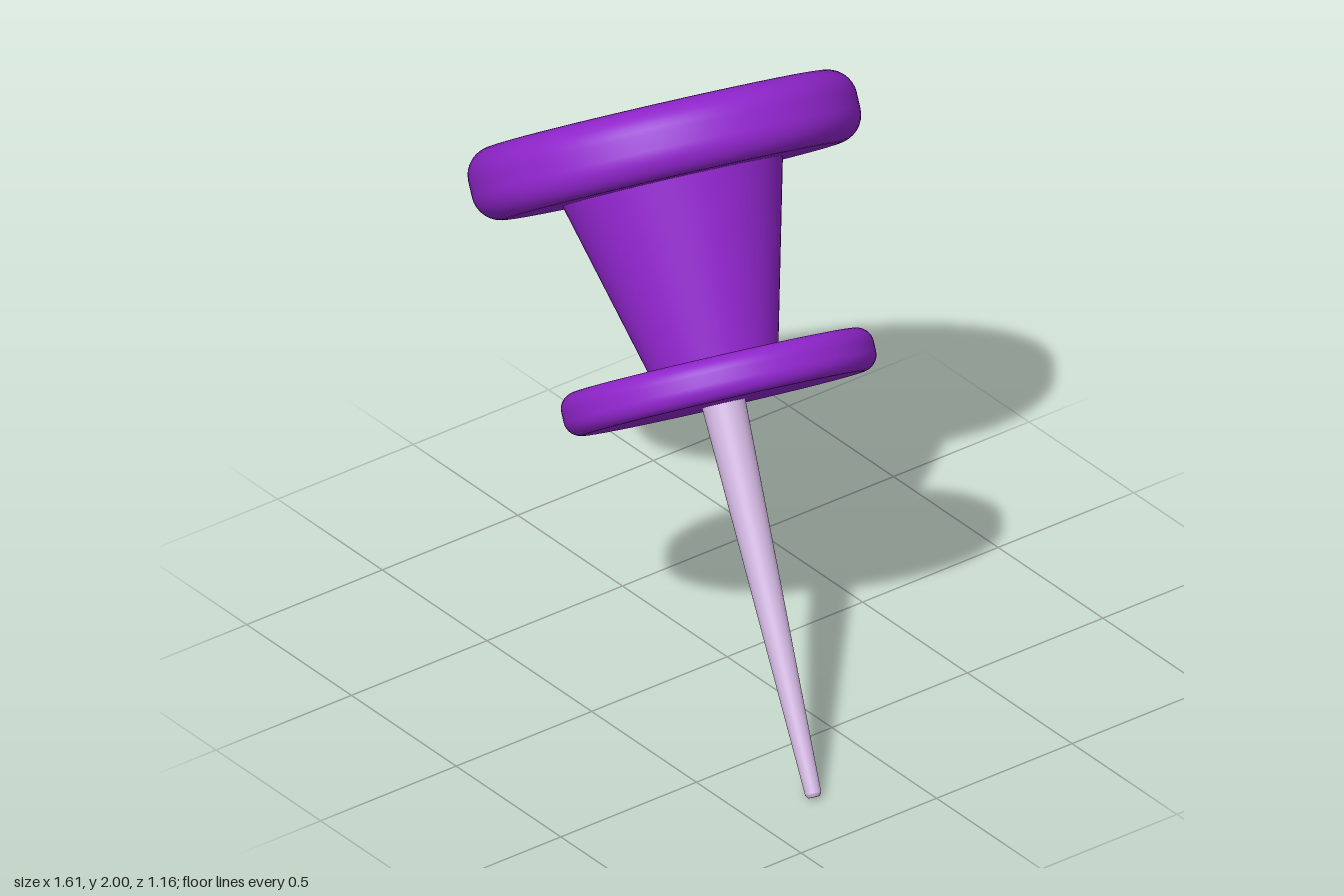
import * as THREE from 'three';

const purple = new THREE.MeshStandardMaterial({ color: 0x9025cc });
purple.name = 'purple plastic';
const steel = new THREE.MeshStandardMaterial({ color: 0xcfb4de });
steel.name = 'pale lilac metal';

// Disc with rounded rim, centred on its own origin
function roundedDisc(name, radius, height, round) {
  const h = height / 2, core = radius - round;
  const pts = [new THREE.Vector2(0, -h), new THREE.Vector2(core - 0.01, -h)];
  const corner = (cy, start) => {
    for (let i = 0; i <= 8; i++) {
      const a = start + (i / 8) * Math.PI / 2;
      pts.push(new THREE.Vector2(core + round * Math.cos(a), cy + round * Math.sin(a)));
    }
  };
  corner(-h + round, -Math.PI / 2);
  corner(h - round, 0);
  pts.push(new THREE.Vector2(core - 0.01, h), new THREE.Vector2(0, h));
  const mesh = new THREE.Mesh(new THREE.LatheGeometry(pts, 96), purple);
  mesh.name = name;
  return mesh;
}

// Tapered round part spanning two heights on the pin axis
function taper(name, rTop, rBottom, yTop, yBottom, material) {
  const geo = new THREE.CylinderGeometry(rTop, rBottom, yTop - yBottom, 64);
  const mesh = new THREE.Mesh(geo, material);
  mesh.position.y = (yTop + yBottom) / 2;
  mesh.name = name;
  return mesh;
}

export function createModel() {
  const pin = new THREE.Group();
  pin.name = 'pushPin';

  // Plastic head: cap, tapered grip and collar
  const cap = roundedDisc('cap', 0.582, 0.218, 0.085);
  const collar = roundedDisc('collar', 0.468, 0.13, 0.05);
  collar.position.y = -0.71;
  pin.add(cap, taper('grip', 0.335, 0.19, -0.09, -0.66, purple), collar);

  // Metal needle with a blunt tip
  pin.add(taper('needle', 0.066, 0.024, -0.74, -1.945, steel));
  pin.add(taper('needleTip', 0.024, 0.017, -1.945, -1.955, steel));

  // Lean the whole pin
  const axis = new THREE.Vector3(-0.557, 0.817, -0.148).normalize();
  pin.quaternion.setFromUnitVectors(new THREE.Vector3(0, 1, 0), axis);
  pin.position.set(-0.3, 1.61, 0);

  const model = new THREE.Group();
  model.name = 'leaningPushPin';
  model.add(pin);
  return model;
}
